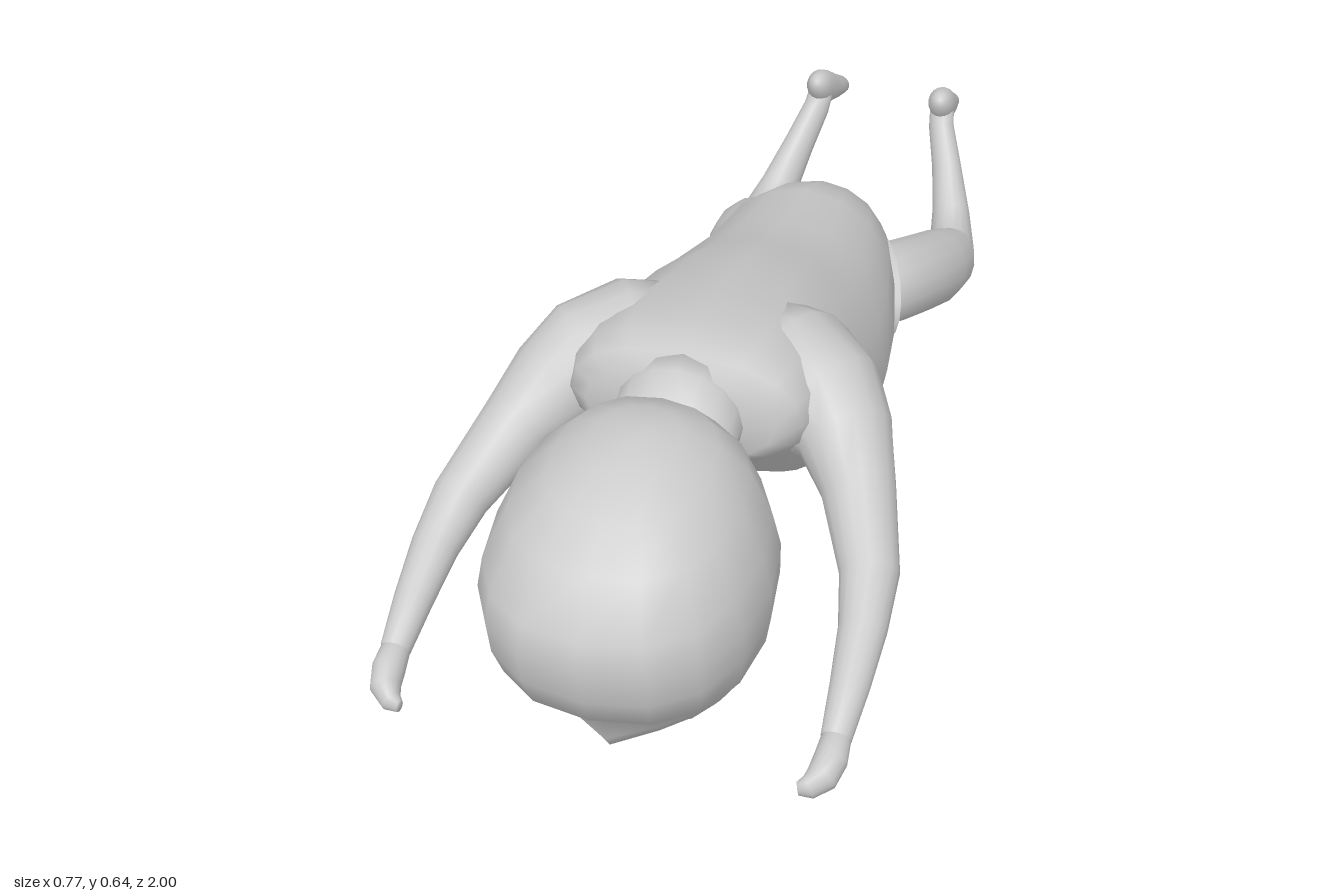
import * as THREE from 'three';

const V = (x, y, z) => new THREE.Vector3(x, y, z);
const SIDES = 16;
const grey = new THREE.MeshStandardMaterial({ color: 0xcccccc });
const openGrey = new THREE.MeshStandardMaterial({ color: 0xcccccc, side: THREE.DoubleSide });

// Skin through rings of points, smooth-shaded, with optional end caps; always wound outwards
function loft(name, rings, capped = true) {
  const n = rings[0].length, pts = rings.flat(), idx = [];
  for (let r = 0; r < rings.length - 1; r++) {
    for (let i = 0; i < n; i++) {
      const a = r * n + i, b = r * n + (i + 1) % n;
      idx.push(a, b, a + n, b, b + n, a + n);
    }
  }
  if (capped) {
    [0, rings.length - 1].forEach((r, end) => {
      const mid = rings[r].reduce((s, p) => s.add(p), V(0, 0, 0)).divideScalar(n);
      const c = pts.push(mid) - 1;
      for (let i = 0; i < n; i++) {
        const a = r * n + i, b = r * n + (i + 1) % n;
        idx.push(...(end ? [c, a, b] : [c, b, a]));
      }
    });
  }
  let volume = 0;
  const origin = rings[0][0], cross = V(0, 0, 0);
  for (let i = 0; i < idx.length; i += 3) {
    const [a, b, c] = [0, 1, 2].map(k => pts[idx[i + k]].clone().sub(origin));
    volume += a.dot(cross.crossVectors(b, c));
  }
  if (volume < 0) idx.reverse();
  const geo = new THREE.BufferGeometry().setFromPoints(pts);
  geo.setIndex(idx);
  geo.computeVertexNormals();
  const mesh = new THREE.Mesh(geo, capped ? grey : openGrey);
  mesh.name = name;
  return mesh;
}

const ring = fn => Array.from({ length: SIDES }, (_, i) => {
  const a = i / SIDES * Math.PI * 2;
  return fn(Math.cos(a), Math.sin(a));
});

// Rounds an ellipse towards a box as the power drops below 1
const square = (v, power) => Math.sign(v) * Math.abs(v) ** power;

// Limb following stations [x, y, z, sideways radius, other radius]
function limb(name, side, stations, capped = true) {
  const centres = stations.map(s => V(s[0] * side, s[1], s[2]));
  const last = centres.length - 1;
  const rings = stations.map(([, , , ru, rv = ru], i) => {
    const t = centres[Math.min(i + 1, last)].clone().sub(centres[Math.max(i - 1, 0)]).normalize();
    const u = t.clone().cross(V(0, 1, 0)).normalize();
    const v = u.clone().cross(t);
    return ring((c, s) => centres[i].clone().addScaledVector(u, c * ru).addScaledVector(v, s * rv));
  });
  return loft(name, rings, capped);
}

// Body parts lying along z: stations [z, bottom, top, half width, power of the upper half]
const alongZ = (name, stations) => loft(name, stations.map(([z, lo, hi, w, power = 1]) =>
  ring((c, s) => V(square(c, s > 0 ? power : 1) * w, (lo + hi) / 2 + s * (hi - lo) / 2, z))));

export function createModel() {
  const model = new THREE.Group();
  model.name = 'crawlingBaby';

  // Torso in its one-piece suit, fat belly, broad shoulders and narrow seat
  model.add(alongZ('torso', [
    [-0.465, 0.24, 0.30, 0.03], [-0.45, 0.20, 0.325, 0.075], [-0.41, 0.12, 0.36, 0.12],
    [-0.35, 0.09, 0.395, 0.148], [-0.28, 0.07, 0.425, 0.17], [-0.15, 0.022, 0.448, 0.2],
    [0, 0.035, 0.505, 0.222], [0.1, 0.075, 0.55, 0.225, 0.95], [0.2, 0.155, 0.575, 0.225, 0.85],
    [0.28, 0.225, 0.598, 0.225, 0.75], [0.36, 0.31, 0.612, 0.215, 0.7],
    [0.42, 0.36, 0.618, 0.205, 0.7], [0.465, 0.40, 0.608, 0.19, 0.75],
    [0.495, 0.43, 0.59, 0.155, 0.85],
  ]));

  // Collar and neck running into the head
  model.add(alongZ('collar', [
    [0.44, 0.40, 0.612, 0.12], [0.5, 0.41, 0.602, 0.102], [0.575, 0.42, 0.585, 0.1],
  ]));
  model.add(alongZ('neck', [[0.48, 0.34, 0.55, 0.09], [0.65, 0.32, 0.53, 0.09]]));

  // Head, stacked upwards: [y, back z, front z, half width, nose length]
  model.add(loft('head', [
    [0.08, 0.65, 0.735, 0.045], [0.098, 0.59, 0.765, 0.095], [0.14, 0.56, 0.805, 0.132],
    [0.163, 0.547, 0.825, 0.146, 0.055], [0.195, 0.53, 0.85, 0.163, 0.05],
    [0.245, 0.515, 0.89, 0.188, 0.012], [0.3, 0.505, 0.965, 0.207], [0.36, 0.5, 0.99, 0.218],
    [0.42, 0.5, 1, 0.22], [0.48, 0.51, 0.995, 0.208], [0.56, 0.54, 0.94, 0.173],
    [0.605, 0.575, 0.87, 0.122], [0.632, 0.63, 0.8, 0.07], [0.64, 0.68, 0.74, 0.02],
  ].map(([y, back, front, w, nose = 0]) => ring((c, s) => V(
    square(c, 0.85) * w, y,
    (back + front) / 2 + square(s, 0.9) * (front - back) / 2 + nose * Math.max(0, s) ** 16)))));

  for (const side of [1, -1]) {
    const label = side > 0 ? 'left' : 'right';

    // Arm reaching forward from a deep sleeve root
    model.add(limb(label + 'Arm', side, [
      [0.08, 0.45, 0.29, 0.13, 0.13], [0.15, 0.475, 0.325, 0.125, 0.12],
      [0.205, 0.47, 0.36, 0.1, 0.103], [0.245, 0.445, 0.4, 0.078, 0.082],
      [0.285, 0.408, 0.475, 0.06, 0.062], [0.335, 0.35, 0.6, 0.047],
      [0.347, 0.318, 0.69, 0.038], [0.35, 0.285, 0.78, 0.031], [0.35, 0.255, 0.86, 0.024],
    ]));

    // Hand curled inwards
    model.add(limb(label + 'Hand', side, [
      [0.35, 0.257, 0.85, 0.022], [0.35, 0.242, 0.89, 0.026, 0.028],
      [0.344, 0.232, 0.92, 0.024, 0.028], [0.328, 0.224, 0.938, 0.016, 0.02],
      [0.313, 0.222, 0.943, 0.008, 0.012],
    ]));

    // Suit hem lying flush around the thigh opening
    model.add(limb(label + 'LegHem', side, [
      [0.06, 0.2, -0.313, 0.1, 0.08], [0.1, 0.195, -0.334, 0.115, 0.09],
      [0.134, 0.19, -0.352, 0.115, 0.09],
    ], false));

    // Thigh, knee on the ground, shin rising behind
    model.add(limb(label + 'Leg', side, [
      [0.09, 0.2, -0.29, 0.07], [0.135, 0.18, -0.37, 0.077], [0.165, 0.142, -0.46, 0.075],
      [0.187, 0.1, -0.55, 0.068, 0.075], [0.2, 0.066, -0.63, 0.055, 0.066],
      [0.196, 0.055, -0.69, 0.044, 0.055], [0.178, 0.095, -0.755, 0.037, 0.043],
      [0.153, 0.163, -0.815, 0.029, 0.034], [0.13, 0.225, -0.86, 0.025, 0.03],
      [0.126, 0.25, -0.88, 0.024, 0.026],
    ]));

    // Foot from raised heel to toes
    model.add(limb(label + 'Foot', side, [
      [0.127, 0.292, -0.85, 0.014], [0.126, 0.277, -0.867, 0.026, 0.03],
      [0.124, 0.25, -0.9, 0.027, 0.035], [0.119, 0.227, -0.945, 0.027, 0.026],
      [0.116, 0.209, -0.982, 0.025, 0.02], [0.115, 0.203, -0.998, 0.013, 0.01],
    ]));
  }
  return model;
}
